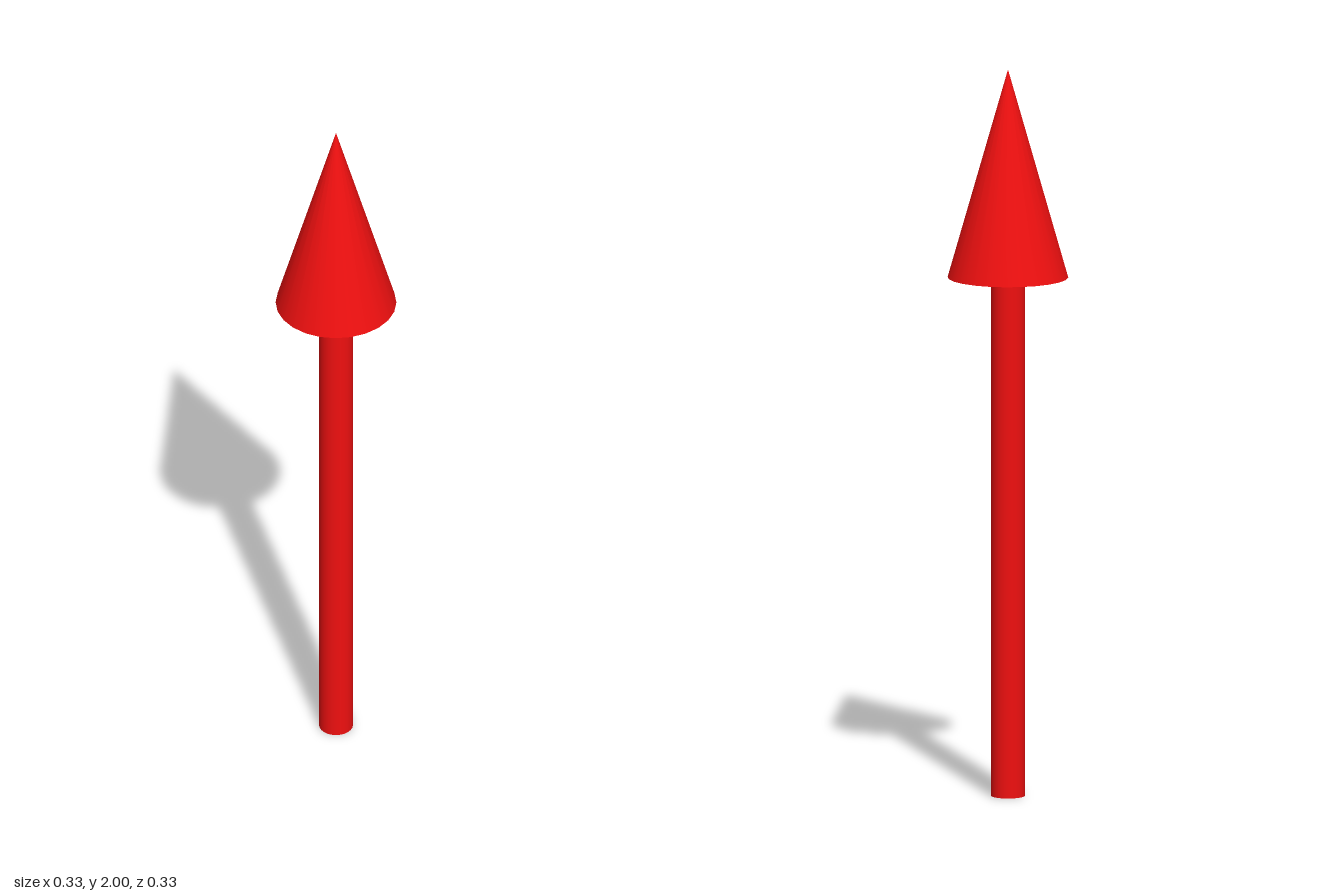
import * as THREE from 'three';

const SIDES = 24;
const HEIGHT = 2;
const HEAD_BASE = 1.428;

export function createModel() {
  const group = new THREE.Group();
  group.name = 'arrow';
  const red = new THREE.MeshStandardMaterial({ color: 0xf01010 });

  // Adds a part standing on the given height
  const addPart = (name, geometry, bottom, height) => {
    const mesh = new THREE.Mesh(geometry, red);
    mesh.name = name;
    mesh.position.y = bottom + height / 2;
    group.add(mesh);
  };

  // Slim round shaft, closed at both ends
  addPart('shaft', new THREE.CylinderGeometry(0.046, 0.046, HEAD_BASE, SIDES), 0, HEAD_BASE);

  // Pointed head with a flat underside
  const headHeight = HEIGHT - HEAD_BASE;
  addPart('head', new THREE.ConeGeometry(0.164, headHeight, SIDES), HEAD_BASE, headHeight);

  return group;
}
